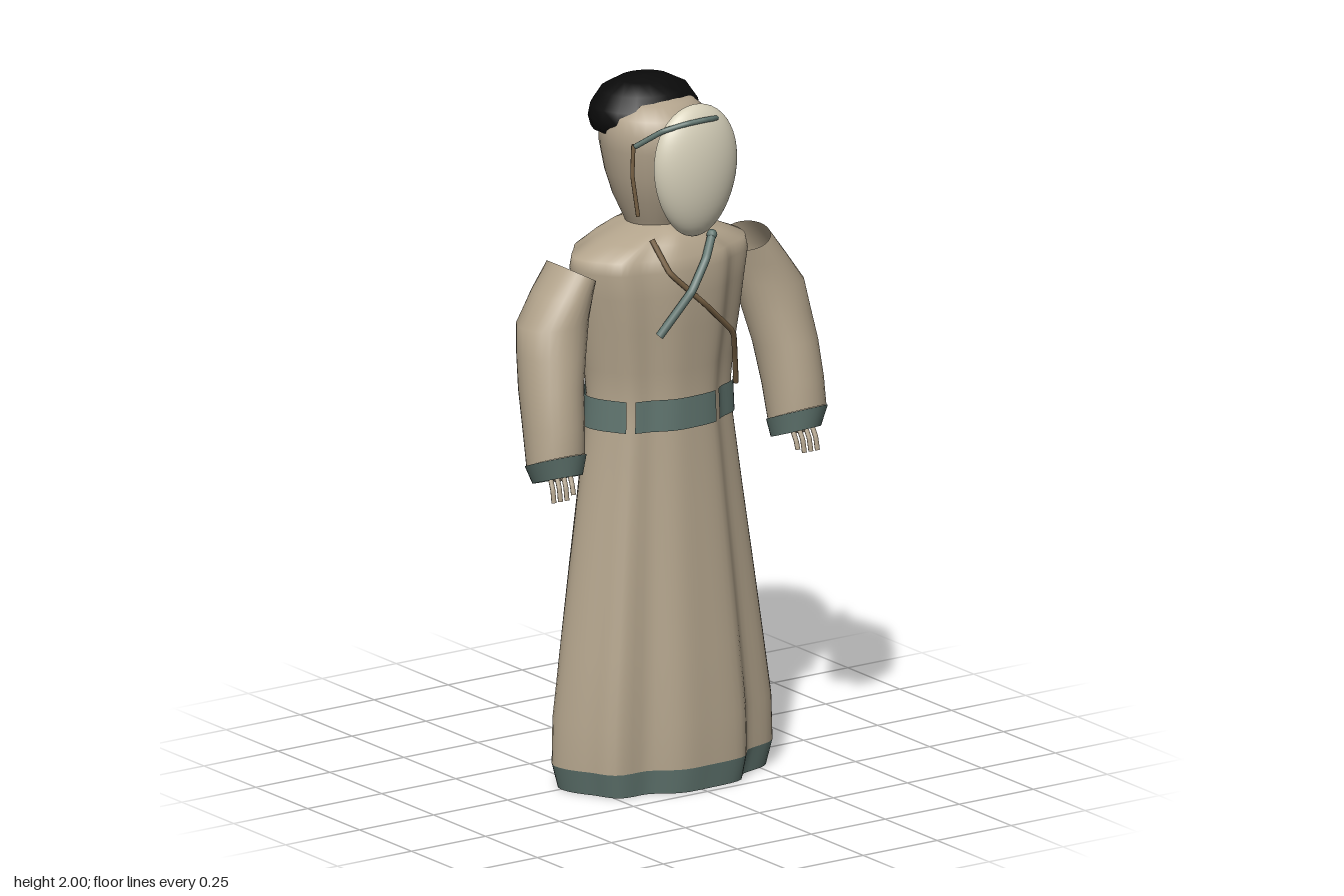
import * as THREE from 'three';

const mat = (name, color, side = THREE.DoubleSide) => {
  const m = new THREE.MeshStandardMaterial({ color, side });
  m.name = name;
  return m;
};

// Surface through rings of points, listed from bottom to top
function loft(rings, closed = true) {
  const n = rings[0].length, pos = [], idx = [];
  rings.forEach(r => r.forEach(p => pos.push(...p)));
  for (let i = 0; i < rings.length - 1; i++) {
    for (let j = 0; j < (closed ? n : n - 1); j++) {
      const k = (j + 1) % n, a = i * n + j, b = i * n + k;
      idx.push(a, a + n, b, b, a + n, b + n);
    }
  }
  const g = new THREE.BufferGeometry();
  g.setAttribute('position', new THREE.Float32BufferAttribute(pos, 3));
  g.setIndex(idx);
  g.computeVertexNormals();
  return g;
}

// Robe profile: height, half width, half depth, fold strength
const PROFILE = [
  [0, 0.32, 0.225, 1], [0.07, 0.34, 0.235, 1], [0.2, 0.337, 0.233, 0.95], [0.4, 0.311, 0.217, 0.85],
  [0.6, 0.284, 0.2, 0.75], [0.8, 0.256, 0.183, 0.65], [1.03, 0.226, 0.163, 0.5], [1.12, 0.222, 0.16, 0.5],
  [1.2, 0.23, 0.164, 0.5], [1.32, 0.25, 0.175, 0.5], [1.42, 0.264, 0.182, 0.5], [1.49, 0.278, 0.18, 0.5],
  [1.525, 0.272, 0.17, 0.5], [1.56, 0.19, 0.15, 0.5], [1.585, 0.115, 0.13, 0.4], [1.6, 0.075, 0.085, 0.2],
];
// Folds: angle in degrees (90 is the front) and radius ratio
const FOLDS = [
  [5, 1], [33, 1.05], [53, 0.93], [67, 1.04], [87, 1], [98, 1.01], [120, 0.91], [135, 1.05], [154, 0.98],
  [180, 1], [209, 0.875], [231, 0.985], [247, 0.876], [263, 1.01], [280, 0.91], [298, 0.966], [314, 0.89],
  [331, 0.97], [365, 1],
];
function fold(deg) {
  const d = ((deg - 5) % 360 + 360) % 360 + 5;
  const i = Math.max(0, FOLDS.findIndex((f, k) => k < FOLDS.length - 1 && d <= FOLDS[k + 1][0]));
  const [a, u] = FOLDS[i], [b, v] = FOLDS[i + 1];
  return THREE.MathUtils.lerp(u, v, THREE.MathUtils.smoothstep(d, a, b));
}
function robePoint([y, rx, rz, k], deg, grow = 0) {
  const f = 1 + (fold(deg) - 1) * k, a = THREE.MathUtils.degToRad(deg);
  return [(rx * f + grow) * Math.cos(a), y, (rz * f + grow) * Math.sin(a)];
}
function robeRing(row, from = 0, to = 360, n = 90, grow = 0) {
  return Array.from({ length: n }, (_, j) => robePoint(row, from + (to - from) * j / n, grow));
}

export function createModel() {
  const cloth = mat('beige cloth', 0xb3a48c);
  const skin = mat('beige skin', 0xb3a48d);
  const trim = mat('teal trim', 0x60756f);
  const black = mat('black hair', 0x0b0b0b);
  const cream = mat('cream mask', 0xd6d0ba);
  const brown = mat('brown cord', 0x7a6346);
  const model = new THREE.Group();
  model.name = 'robedFigure';

  const add = (name, geometry, material, parent = model) => {
    const m = new THREE.Mesh(geometry, material);
    m.name = name;
    parent.add(m);
    return m;
  };
  const tube = (name, pts, r, material, parent = model, bend = 'catmullrom') => {
    const v = pts.map(p => new THREE.Vector3(...p));
    const curve = new THREE.CatmullRomCurve3(v, false, bend, 0.1);
    return add(name, new THREE.TubeGeometry(curve, 24, r, 8), material, parent);
  };

  // Robe with a coloured hem
  add('robe', loft(PROFILE.slice(1).map(r => robeRing(r))), cloth);
  add('hem', loft(PROFILE.slice(0, 2).map(r => robeRing(r))), trim);

  // Belt in sections that part at the folds
  const gaps = [22, 64, 137, 215, 285, 382];
  for (let i = 0; i < gaps.length - 1; i++) {
    const rows = [PROFILE[6], PROFILE[7]];
    add('beltSection', loft(rows.map(r => robeRing(r, gaps[i] + 2, gaps[i + 1] - 2, 24, 0.006)), false), trim);
  }

  // Sleeves: outer xy, inner xy, depth centre, half depth, forward rise
  const sleeve = [
    [0.49, 0.992, 0.325, 0.988, 0.1, 0.08, 0.033],
    [0.489, 1.08, 0.318, 1.08, 0.085, 0.088, 0.02],
    [0.485, 1.19, 0.306, 1.19, 0.06, 0.095, 0.01],
    [0.476, 1.28, 0.282, 1.29, 0.038, 0.098, 0],
    [0.465, 1.36, 0.262, 1.375, 0.022, 0.1, 0],
    [0.405, 1.445, 0.25, 1.43, 0.016, 0.099, 0],
    [0.345, 1.525, 0.245, 1.47, 0.015, 0.095, 0],
  ];
  const cuff = [[0.47, 0.937, 0.335, 0.933, 0.102, 0.074, 0.027], [0.494, 0.992, 0.321, 0.988, 0.1, 0.084, 0.033]];
  const sleeveRing = s => ([ox, oy, ix, iy, zc, zh, rise]) =>
    Array.from({ length: 28 }, (_, j) => {
      const a = s * j / 28 * Math.PI * 2, c = Math.cos(a), d = Math.sin(a);
      return [s * ((ox + ix) / 2 + (ox - ix) / 2 * c), (oy + iy) / 2 + (oy - iy) / 2 * c + rise * d, zc + zh * d];
    });
  for (const s of [1, -1]) {
    const arm = new THREE.Group();
    arm.name = s > 0 ? 'leftArm' : 'rightArm';
    model.add(arm);
    add('sleeve', loft(sleeve.map(sleeveRing(s))), cloth, arm);
    add('cuff', loft(cuff.map(sleeveRing(s))), trim, arm);
    // Hand with thin fingers
    const palm = add('palm', new THREE.SphereGeometry(1, 16, 10), skin, arm);
    palm.scale.set(0.042, 0.04, 0.02);
    palm.position.set(s * 0.408, 0.972, 0.115);
    for (let i = 0; i < 4; i++) {
      const x = 0.375 + i * 0.022;
      tube('finger', [[s * x, 0.96, 0.118], [s * (x + 0.003), 0.92, 0.138], [s * (x + 0.004), 0.884 + (i === 0 ? 0.012 : 0), 0.145]],
        0.007, skin, arm);
    }
  }

  // Head
  const lathe = (pts, n) => new THREE.LatheGeometry(pts.map(p => new THREE.Vector2(...p)), n);
  const head = add('head', lathe([[0.082, 1.59], [0.09, 1.61], [0.118, 1.67], [0.14, 1.74], [0.155, 1.82],
    [0.156, 1.87], [0.14, 1.91], [0.1, 1.945], [0, 1.97]], 32), skin);
  head.position.z = -0.004;

  // Cropped hair cap
  const hair = add('hair', lathe([[0, 1.86], [0.155, 1.86], [0.163, 1.89], [0.156, 1.925], [0.128, 1.965],
    [0.075, 1.992], [0, 2]], 18), black);
  hair.scale.z = 0.86;
  hair.position.set(-0.004, 0, -0.05);

  // Egg-shaped mask, hollow behind
  const shell = new THREE.SphereGeometry(1, 32, 24, 0, Math.PI);
  const p = shell.attributes.position;
  for (let i = 0; i < p.count; i++) p.setX(i, p.getX(i) * (1 + 0.14 * p.getY(i)));
  shell.scale(0.135, 0.19, 0.07);
  shell.computeVertexNormals();
  add('mask', shell, cream).position.set(0.015, 1.772, 0.165);

  // Mask band and hanging cords
  tube('maskBand', [[-0.15, 1.855, 0.115], [-0.1, 1.905, 0.175], [-0.035, 1.922, 0.2], [0.015, 1.926, 0.208],
    [0.06, 1.922, 0.2], [0.1, 1.905, 0.17], [0.165, 1.855, 0.1]], 0.008, trim);
  tube('rightCord', [[-0.152, 1.86, 0.11], [-0.154, 1.77, 0.108], [-0.135, 1.65, 0.108]], 0.006, brown);
  tube('leftCord', [[0.163, 1.86, 0.102], [0.162, 1.77, 0.106], [0.143, 1.65, 0.106]], 0.006, brown);

  // Crossed cord and rod on the chest
  tube('chestCord', [[-0.1, 1.58, 0.125], [-0.075, 1.49, 0.178], [0.03, 1.39, 0.193], [0.15, 1.28, 0.16],
    [0.18, 1.2, 0.125], [0.205, 1.11, 0.095]], 0.008, brown);
  tube('chestRod', [[0.085, 1.57, 0.15], [0.04, 1.515, 0.185], [-0.02, 1.435, 0.202], [-0.11, 1.315, 0.175]], 0.012, trim);
  add('rodKnob', new THREE.SphereGeometry(0.015, 12, 8), trim).position.set(0.085, 1.57, 0.15);

  return model;
}
